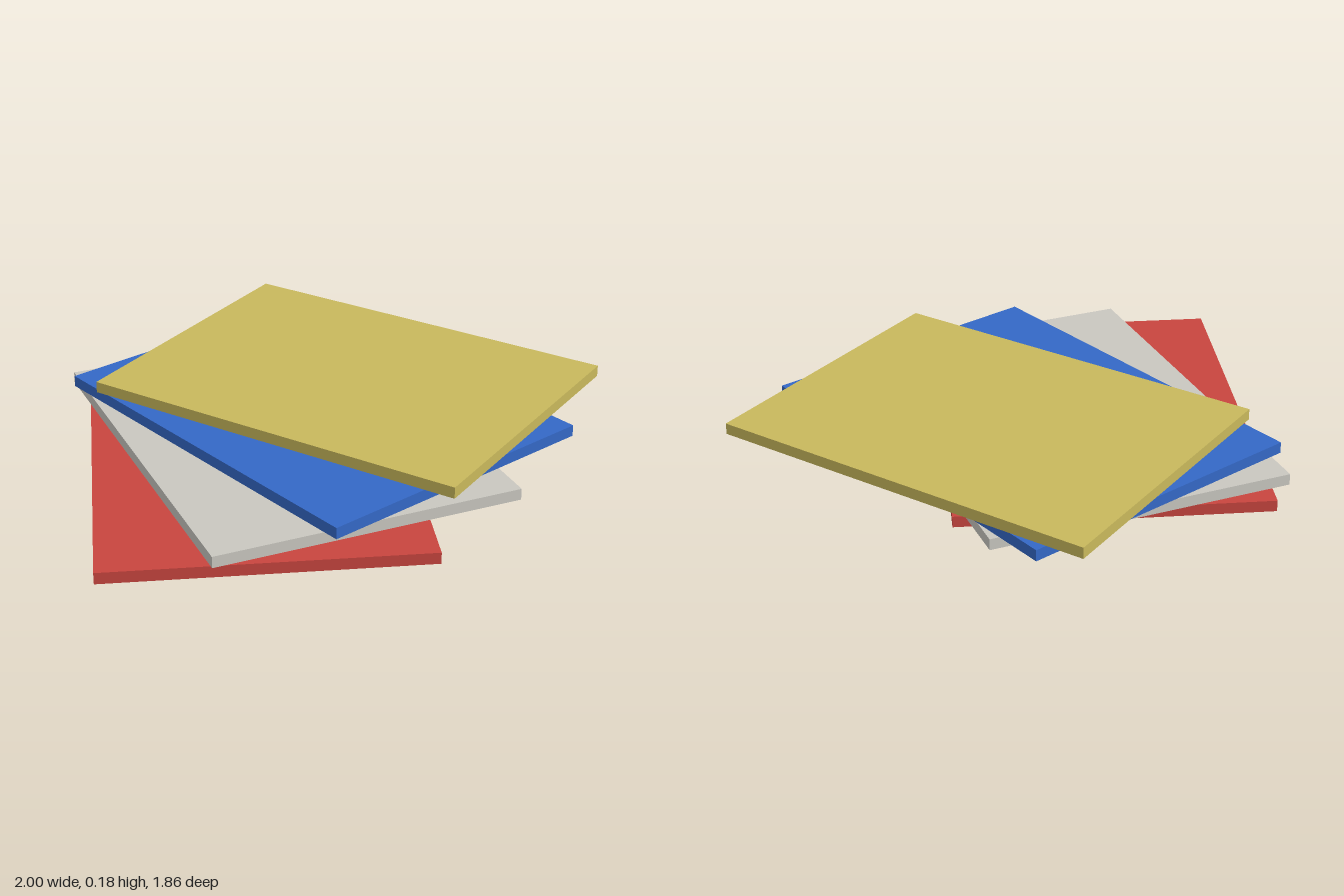
import * as THREE from 'three';

export function createModel() {
  const model = new THREE.Group();
  model.name = 'fannedPanels';

  const panels = [
    ['red', 0xc8453f],
    ['lightGrey', 0xc9c7c0],
    ['blue', 0x3468c6],
    ['yellow', 0xc8b85c],
  ];
  const thickness = 0.039;
  const panelGeometry = new THREE.BoxGeometry(1.05, thickness, 1.4);

  // Four equal panels, each raised, shifted and turned a step further
  panels.forEach(([name, color], i) => {
    const material = new THREE.MeshStandardMaterial({ color });
    material.name = name;
    const panel = new THREE.Mesh(panelGeometry, material);
    panel.name = name + 'Panel';
    panel.position.set(-0.265 + i * 0.151, thickness / 2 + i * 0.0467, 0.09 - i * 0.05);
    panel.rotation.y = THREE.MathUtils.degToRad(-20 + i * 17);
    model.add(panel);
  });

  return model;
}
